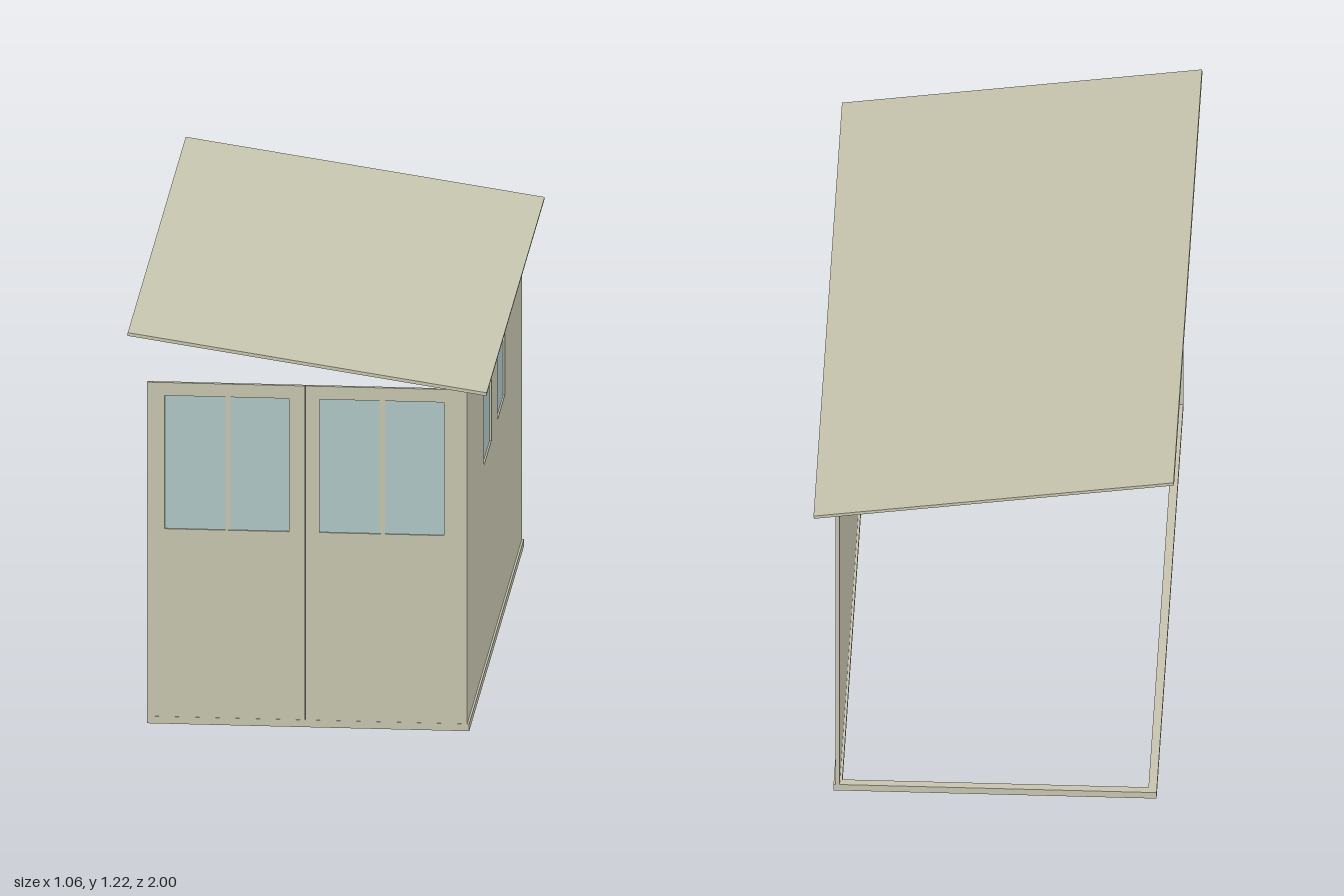
import * as THREE from 'three';

const wallMat = new THREE.MeshStandardMaterial({ color: 0xc8c6b0 });
const glassMat = new THREE.MeshStandardMaterial({ color: 0xb0c8c8 });

const BASE = 0.022; // height of the base frame
const THICK = 0.012; // wall thickness
const WALL_TOP = 1.05;

function rect(Type, x0, x1, y0, y1) {
  const p = new Type();
  p.moveTo(x0, y0);
  p.lineTo(x1, y0);
  p.lineTo(x1, y1);
  p.lineTo(x0, y1);
  p.closePath();
  return p;
}

function box(name, x0, x1, y0, y1, z0, z1, mat = wallMat) {
  const m = new THREE.Mesh(new THREE.BoxGeometry(x1 - x0, y1 - y0, z1 - z0), mat);
  m.position.set((x0 + x1) / 2, (y0 + y1) / 2, (z0 + z1) / 2);
  m.name = name;
  return m;
}

// Wall panel in the XY plane (outside at z = 0), with an optional window
// w = { x0, x1, y0, y1, bar: [b0, b1] }
function panel(name, x0, x1, w) {
  const g = new THREE.Group();
  g.name = name;
  const gap = 0.0007;
  const shape = rect(THREE.Shape, x0 + gap, x1 - gap, BASE, WALL_TOP);
  if (w) shape.holes.push(rect(THREE.Path, w.x0, w.x1, w.y0, w.y1));
  const sheet = new THREE.Mesh(
    new THREE.ExtrudeGeometry(shape, { depth: THICK, bevelEnabled: false }), wallMat);
  sheet.position.z = -THICK;
  sheet.name = 'panelSheet';
  g.add(sheet);
  if (w) {
    g.add(box('windowGlass', w.x0, w.x1, w.y0, w.y1, -0.008, -0.005, glassMat));
    if (w.bar) g.add(box('windowBar', w.bar[0], w.bar[1], w.y0, w.y1, -0.005, -0.003));
  }
  return g;
}

export function createModel() {
  const model = new THREE.Group();
  model.name = 'shed';

  // Base frame: an open rectangle on the ground
  const ring = rect(THREE.Shape, -0.478, 0.475, -0.945, 0.945);
  ring.holes.push(rect(THREE.Path, -0.453, 0.45, -0.92, 0.92));
  const base = new THREE.Mesh(
    new THREE.ExtrudeGeometry(ring, { depth: BASE, bevelEnabled: false }), wallMat);
  base.rotation.x = -Math.PI / 2;
  base.name = 'baseFrame';
  model.add(base);

  // Front wall: two panels, each with a two-pane window
  const front = new THREE.Group();
  front.name = 'frontWall';
  front.add(panel('frontPanelRight', -0.467, -0.01,
    { x0: -0.426, x1: -0.058, y0: 0.6, y1: 1.01, bar: [-0.246, -0.232] }));
  front.add(panel('frontPanelLeft', -0.01, 0.457,
    { x0: 0.032, x1: 0.4, y0: 0.6, y1: 1.01, bar: [0.21, 0.225] }));
  front.add(box('frontEndPost', -0.478, -0.467, BASE, WALL_TOP, -THICK, 0));
  front.position.z = 0.944;
  model.add(front);

  // Side wall: four panels, windows in the middle two
  const side = new THREE.Group();
  side.name = 'sideWall';
  const width = 0.467;
  for (let i = 0; i < 4; i++) {
    const x0 = (i - 2) * width;
    const mid = x0 + width / 2;
    const hasWindow = i === 1 || i === 2;
    side.add(panel('sidePanel', x0, x0 + width,
      hasWindow ? { x0: mid - 0.124, x1: mid + 0.124, y0: 0.643, y1: 0.93 } : null));
  }
  // Posts closing both ends, and a thin rail under the roof
  for (const s of [-1, 1]) {
    const post = box('sideEndPost', -0.0055, 0.0055, BASE, WALL_TOP, -THICK, 0);
    post.position.x = s * 0.9395;
    side.add(post);
  }
  side.add(box('topRail', -0.945, 0.945, WALL_TOP, 1.058, -0.01, -0.002));
  side.rotation.y = Math.PI / 2;
  side.position.x = 0.469;
  model.add(side);

  // Sloping roof sheet, high on the open side
  const rise = 0.158;
  const run = 1.062;
  const roof = new THREE.Mesh(
    new THREE.BoxGeometry(Math.hypot(run, rise), 0.01, 2), wallMat);
  roof.rotation.z = -Math.atan2(rise, run);
  roof.position.y = 1.134;
  roof.name = 'roof';
  model.add(roof);

  return model;
}
